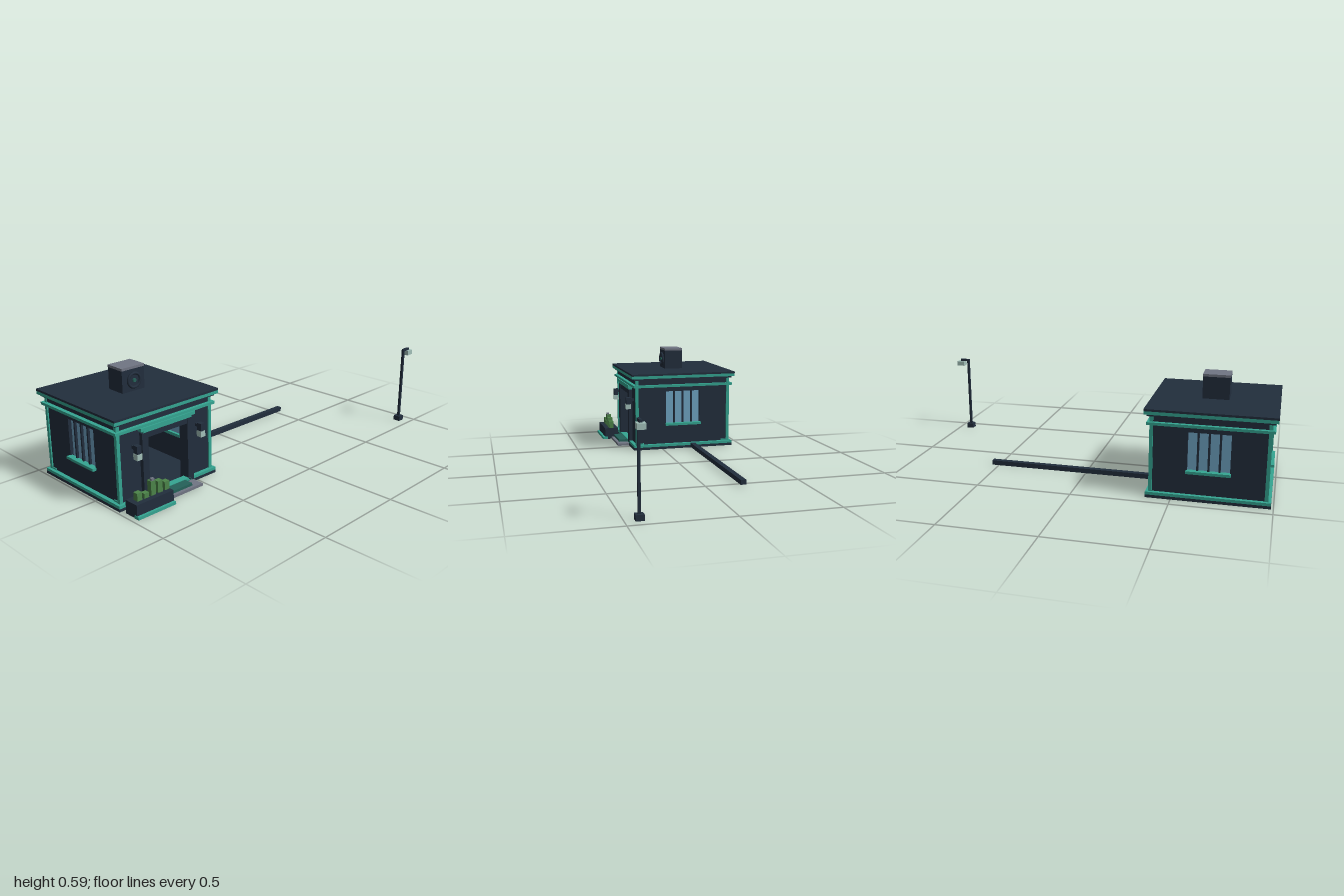
import * as THREE from 'three';

const mat = (name, color, side = THREE.FrontSide) => {
  const m = new THREE.MeshStandardMaterial({ color, side });
  m.name = name;
  return m;
};

export function createModel() {
  const navy = mat('navy', 0x222e3d);
  const teal = mat('teal', 0x35a692);
  const glass = mat('glass blue', 0x70a5c4);
  const pale = mat('pale lamp', 0xa3c1ba);
  const grey = mat('grey', 0x717684);
  const green = mat('cactus green', 0x4c8449);
  const deepTeal = mat('deep teal', 0x25625a);

  const root = new THREE.Group();
  root.name = 'guardHouse';
  const group = (name, parent, x = 0, y = 0, z = 0) => {
    const g = new THREE.Group();
    g.name = name;
    g.position.set(x, y, z);
    parent.add(g);
    return g;
  };
  // box given by its limits on each axis
  const box = (parent, name, m, x0, x1, y0, y1, z0, z1) => {
    const mesh = new THREE.Mesh(new THREE.BoxGeometry(x1 - x0, y1 - y0, z1 - z0), m);
    mesh.name = name;
    mesh.position.set((x0 + x1) / 2, (y0 + y1) / 2, (z0 + z1) / 2);
    parent.add(mesh);
    return mesh;
  };
  // square slab or ring of four strips around the house centre
  const slab = (parent, name, m, h, y0, y1) => box(parent, name, m, -h, h, y0, y1, -h, h);
  const ring = (parent, name, m, h, inner, y0, y1) => {
    const g = group(name, parent);
    for (const s of [-1, 1]) {
      const a = s < 0 ? -h : inner, b = s < 0 ? -inner : h;
      box(g, name + 'Strip', m, -h, h, y0, y1, a, b);
      box(g, name + 'Strip', m, a, b, y0, y1, -inner, inner);
    }
  };

  const house = group('house', root, -0.68, 0, -0.1325);
  const W = 0.287, T = 0.03; // wall half width and thickness

  // base, floor and horizontal bands
  slab(house, 'baseSlab', navy, 0.308, 0, 0.015);
  ring(house, 'baseTrim', teal, 0.308, 0.27, 0.015, 0.03);
  ring(house, 'upperTrim', teal, 0.308, 0.28, 0.378, 0.392);

  // corner posts with small foot brackets
  for (const sx of [-1, 1]) for (const sz of [-1, 1]) {
    const post = box(house, 'cornerPost', teal, -0.009, 0.009, 0.03, 0.42, -0.009, 0.009);
    post.position.x = sx * 0.285;
    post.position.z = sz * 0.285;
    const foot = box(house, 'postFoot', teal, -0.003, 0.003, 0.03, 0.038, -0.016, 0.016);
    foot.position.x = sx * 0.289;
    foot.position.z = sz * 0.26;
  }

  // windowed wall: faces +z before it is turned
  const windowWall = (name, angle) => {
    const g = group(name, house);
    g.rotation.y = angle;
    const shape = new THREE.Shape();
    shape.moveTo(-W, 0.015).lineTo(W, 0.015).lineTo(W, 0.42).lineTo(-W, 0.42).closePath();
    const hole = new THREE.Path();
    hole.moveTo(-0.105, 0.15).lineTo(-0.105, 0.35).lineTo(0.105, 0.35).lineTo(0.105, 0.15).closePath();
    shape.holes.push(hole);
    const wall = new THREE.Mesh(new THREE.ExtrudeGeometry(shape, { depth: T, bevelEnabled: false }), navy);
    wall.name = 'wall';
    wall.position.z = W - T;
    g.add(wall);
    box(g, 'windowGlass', glass, -0.115, 0.115, 0.145, 0.355, W - T - 0.005, W - T + 0.012);
    for (const x of [-0.054, 0, 0.054]) box(g, 'windowBar', navy, x - 0.005, x + 0.005, 0.15, 0.35, W - 0.012, W);
    box(g, 'windowSill', teal, -0.11, 0.11, 0.142, 0.156, W - 0.01, 0.308);
    box(g, 'innerSill', teal, -0.11, 0.11, 0.155, 0.17, W - T - 0.02, W - T);
  };
  windowWall('leftWall', Math.PI / 2);
  windowWall('rightWall', -Math.PI / 2);
  windowWall('backWall', Math.PI);

  // front wall around the doorway
  const front = group('frontWall', house);
  for (const s of [-1, 1]) {
    const side = (name, m, a, b, ...r) => box(front, name, m, Math.min(s * a, s * b), Math.max(s * a, s * b), ...r);
    side('frontWallSide', navy, 0.15, W, 0.015, 0.42, W - T, W);
    side('doorJamb', navy, 0.122, 0.158, 0.015, 0.35, W - T - 0.01, 0.308);
    // wall lantern
    side('lanternArm', navy, 0.19, 0.206, 0.285, 0.3, W, 0.31);
    side('lanternCap', navy, 0.186, 0.211, 0.268, 0.308, 0.306, 0.335);
    side('lanternGlass', pale, 0.184, 0.213, 0.238, 0.268, 0.306, 0.337);
  }
  box(front, 'doorHeadWall', navy, -0.15, 0.15, 0.35, 0.42, W - T, W);
  box(front, 'doorLintel', navy, -0.122, 0.122, 0.322, 0.35, W - T, 0.306);
  box(front, 'doorCornice', teal, -0.15, 0.15, 0.35, 0.362, W, 0.308);
  box(front, 'doorCorniceTop', teal, -0.168, 0.168, 0.362, 0.378, W, 0.314);
  box(front, 'openDoor', navy, -0.14, -0.122, 0.03, 0.322, 0.02, W - T);

  // desk and chair inside
  const desk = group('desk', house);
  box(desk, 'deskTop', grey, -0.12, 0.12, 0.117, 0.13, -0.16, -0.03);
  box(desk, 'deskFront', navy, -0.115, 0.115, 0.04, 0.117, -0.05, -0.04);
  box(desk, 'deskFoot', teal, -0.115, 0.115, 0.015, 0.04, -0.05, -0.036);
  box(desk, 'chairBack', navy, -0.042, 0.042, 0.1, 0.21, -0.215, -0.195);
  box(desk, 'chairSeat', navy, -0.045, 0.045, 0.08, 0.1, -0.215, -0.14);
  box(desk, 'chairStem', navy, -0.01, 0.01, 0.015, 0.08, -0.185, -0.165);
  box(desk, 'monitor', navy, -0.045, 0.045, 0.14, 0.185, -0.11, -0.1);
  box(desk, 'monitorStand', navy, -0.015, 0.015, 0.13, 0.14, -0.115, -0.095);

  // layered roof
  slab(house, 'roofNeck', navy, 0.29, 0.395, 0.422);
  slab(house, 'roofMoulding', navy, 0.306, 0.422, 0.433);
  slab(house, 'roofTrim', teal, 0.3195, 0.433, 0.45);
  slab(house, 'roofTop', navy, 0.3205, 0.45, 0.461);

  // rooftop fan unit
  const unit = group('rooftopUnit', house);
  box(unit, 'unitBody', navy, -0.068, 0.068, 0.46, 0.575, -0.055, 0.054);
  box(unit, 'unitLid', grey, -0.069, 0.069, 0.575, 0.588, -0.056, 0.055);
  const fan = (name, m, geo, z) => {
    const f = new THREE.Mesh(geo, m);
    f.name = name;
    f.position.set(0, 0.518, z);
    unit.add(f);
    return f;
  };
  fan('fanRing', navy, new THREE.TorusGeometry(0.036, 0.007, 8, 24), 0.061);
  fan('fanDisc', navy, new THREE.CylinderGeometry(0.034, 0.034, 0.008, 24), 0.056).rotation.x = Math.PI / 2;
  fan('fanHub', deepTeal, new THREE.CylinderGeometry(0.01, 0.01, 0.014, 12), 0.06).rotation.x = Math.PI / 2;

  // doorstep and mat
  box(root, 'doorstep', grey, -0.83, -0.527, 0, 0.014, 0.17, 0.245);
  box(root, 'doorMat', deepTeal, -0.77, -0.582, 0.014, 0.028, 0.17, 0.228);

  // planter with a row of cacti
  const planter = group('planter', root);
  box(planter, 'planterBox', navy, -0.972, -0.752, 0, 0.07, 0.203, 0.286);
  box(planter, 'planterFoot', teal, -0.975, -0.75, 0, 0.015, 0.27, 0.3);
  [0.11, 0.095, 0.143, 0.13, 0.113].forEach((top, i) => {
    const x = -0.932 + i * 0.041;
    box(planter, 'cactus', green, x - 0.014, x + 0.014, 0.068, top, 0.231, 0.259);
    if (i === 2) box(planter, 'cactusTip', grey, x - 0.008, x + 0.008, top, 0.155, 0.243, 0.258);
  });

  // low barrier beam
  box(root, 'barrierBeam', navy, -0.4, 0.534, 0.004, 0.029, -0.204, -0.175);

  // street lamp
  const lamp = group('streetLamp', root);
  box(lamp, 'lampBase', navy, 0.913, 0.953, 0, 0.028, 0.412, 0.452);
  box(lamp, 'lampPost', navy, 0.927, 0.94, 0.028, 0.447, 0.426, 0.439);
  box(lamp, 'lampArm', navy, 0.94, 0.983, 0.434, 0.447, 0.426, 0.439);
  box(lamp, 'lampHead', pale, 0.955, 1, 0.407, 0.434, 0.412, 0.452);

  return root;
}
